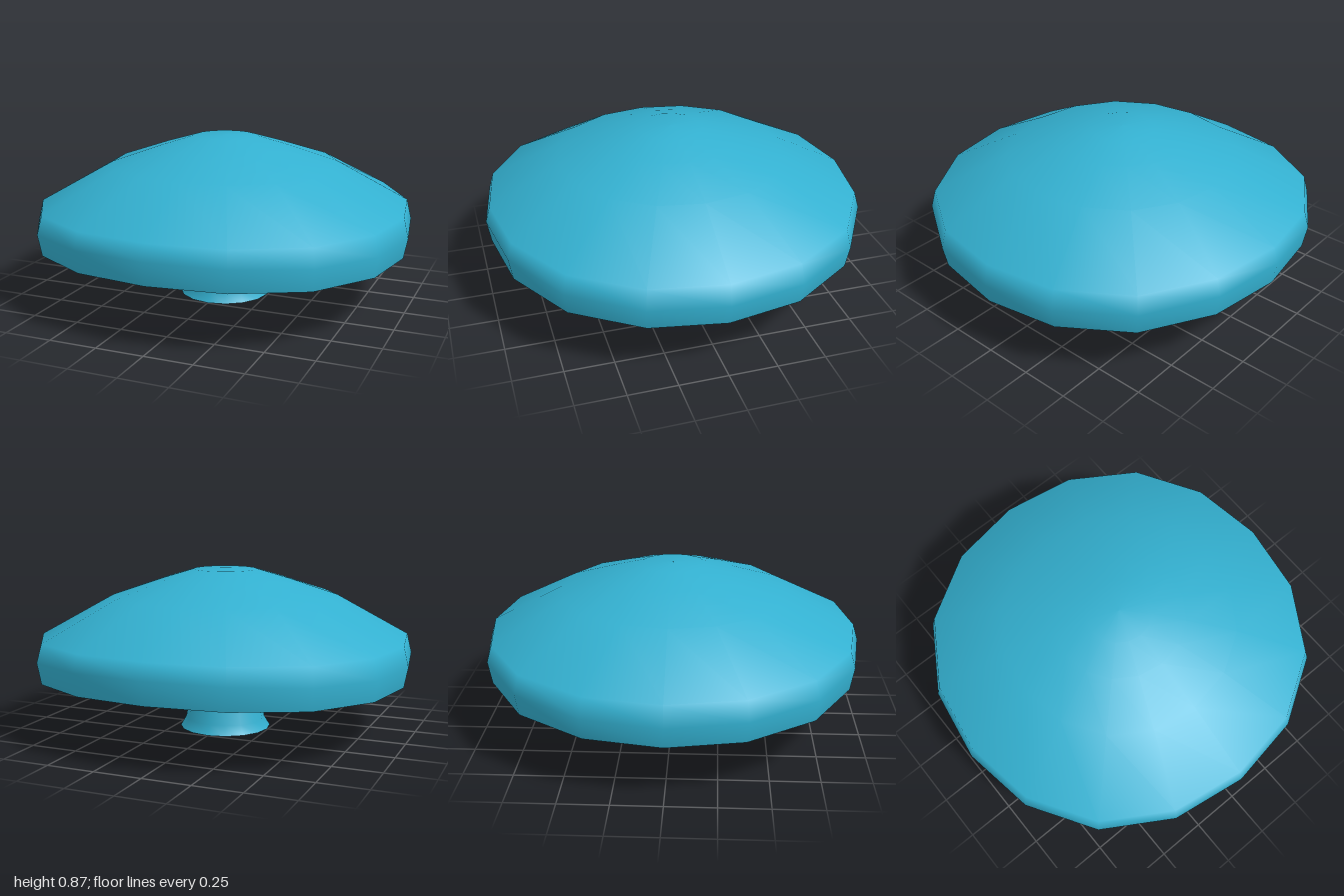
import * as THREE from 'three';

const SIDES = 16;

// Smooth skin through closed rings; point(ring, angle, side) gives each corner
function ringSkin(rings, point) {
  const positions = [], index = [];
  rings.forEach((ring) => {
    for (let i = 0; i < SIDES; i++) positions.push(...point(ring, (i / SIDES) * Math.PI * 2, i));
  });
  for (let j = 0; j < rings.length - 1; j++) {
    for (let i = 0; i < SIDES; i++) {
      const k = (i + 1) % SIDES;
      const a = j * SIDES + i, b = a + SIDES, c = j * SIDES + k, d = c + SIDES;
      index.push(a, c, b, c, d, b);
    }
  }
  const geometry = new THREE.BufferGeometry();
  geometry.setAttribute('position', new THREE.Float32BufferAttribute(positions, 3));
  geometry.setIndex(index);
  geometry.computeVertexNormals();
  return geometry;
}

// Slightly squared circle, sagging towards the sides by the given amount
function capPoint(r, y, sag, angle) {
  const wide = 1 + 0.03 * Math.sin(2 * angle) ** 2 * r;
  return [r * wide * Math.cos(angle), y - sag * Math.cos(2 * angle), r * wide * Math.sin(angle) * 0.993];
}

export function createModel() {
  const model = new THREE.Group();
  model.name = 'mushroom';
  const teal = new THREE.MeshStandardMaterial({ color: 0x33b0d0, side: THREE.DoubleSide });
  teal.name = 'teal';

  const add = (name, geometry) => {
    const mesh = new THREE.Mesh(geometry, teal);
    mesh.name = name;
    model.add(mesh);
  };

  // Domed top and rounded rim: radius, height, sag
  const dome = [
    [0.001, 0.87, 0], [0.17, 0.863, 0], [0.34, 0.812, 0], [0.6, 0.725, 0.002],
    [0.975, 0.52, 0.013], [1, 0.425, 0.025], [0.98, 0.312, 0.018],
  ];
  add('capTop', ringSkin(dome, ([r, y, sag], angle) => capPoint(r, y, sag, angle)));

  // Shallow underside, falling short of the rim along one front corner
  const under = [
    [0.98, 0.312, 0.018], [0.74, 0.278, 0.03], [0.46, 0.263, 0.013], [0.18, 0.235, 0],
  ];
  add('capUnderside', ringSkin(under, ([r, y, sag], angle, side) => {
    const short = r > 0.9 && side < 4;
    return short ? capPoint(0.78, 0.3, 0.018, angle) : capPoint(r, y, sag, angle);
  }));

  // Open hollow stem with a flared foot
  const stem = [[0.245, 0], [0.215, 0.05], [0.18, 0.24]].map(([r, y]) => new THREE.Vector2(r, y));
  add('stem', new THREE.LatheGeometry(stem, SIDES));

  return model;
}
